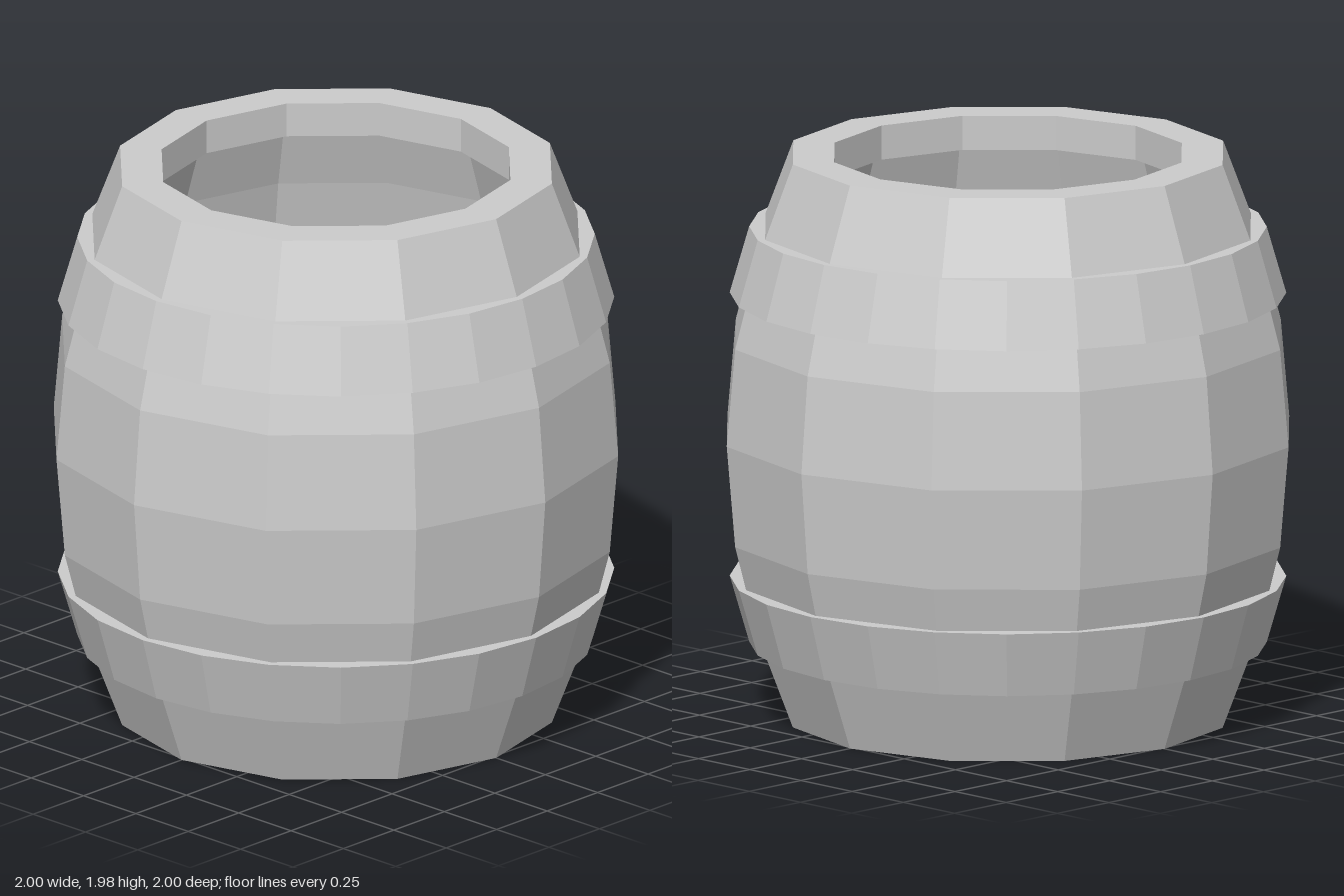
import * as THREE from 'three';

const HEIGHT = 1.98;
const HOLLOW_SCALE = 0.808;
const material = new THREE.MeshStandardMaterial({ color: 0xcccccc, flatShading: true });

// Closed profile of [radius, y] points, counter-clockwise, turned around y
function turned(name, profile, sides) {
  const points = [...profile, profile[0]].map(([r, y]) => new THREE.Vector2(r, y));
  const mesh = new THREE.Mesh(new THREE.LatheGeometry(points, sides), material);
  mesh.name = name;
  return mesh;
}

export function createModel() {
  const group = new THREE.Group();
  group.name = 'barrel';

  // Bulging staves: outer wall going up, then the lip and the hollow going down
  const outer = [[0.765, 0], [0.89, 0.33], [0.97, 0.645], [1, 1], [0.97, 1.34], [0.89, 1.65], [0.765, HEIGHT]];
  const lip = [[0.618, HEIGHT], [0.618, 1.86], [0.655, 1.86]];
  const hollow = outer.slice(0, -1).reverse().map(([r, y]) => [r * HOLLOW_SCALE, y]);
  group.add(turned('barrelBody', [...outer, ...lip, ...hollow], 12));

  // Tapered hoops, rounder than the staves, mirrored above and below the middle
  const hoop = [[0.957, 1.488], [0.89, 1.72], [0.83, 1.72], [0.89, 1.488]];
  group.add(turned('upperHoop', hoop, 24));
  const mirrored = hoop.map(([r, y]) => [r, HEIGHT - y]).reverse();
  group.add(turned('lowerHoop', mirrored, 24));

  return group;
}
